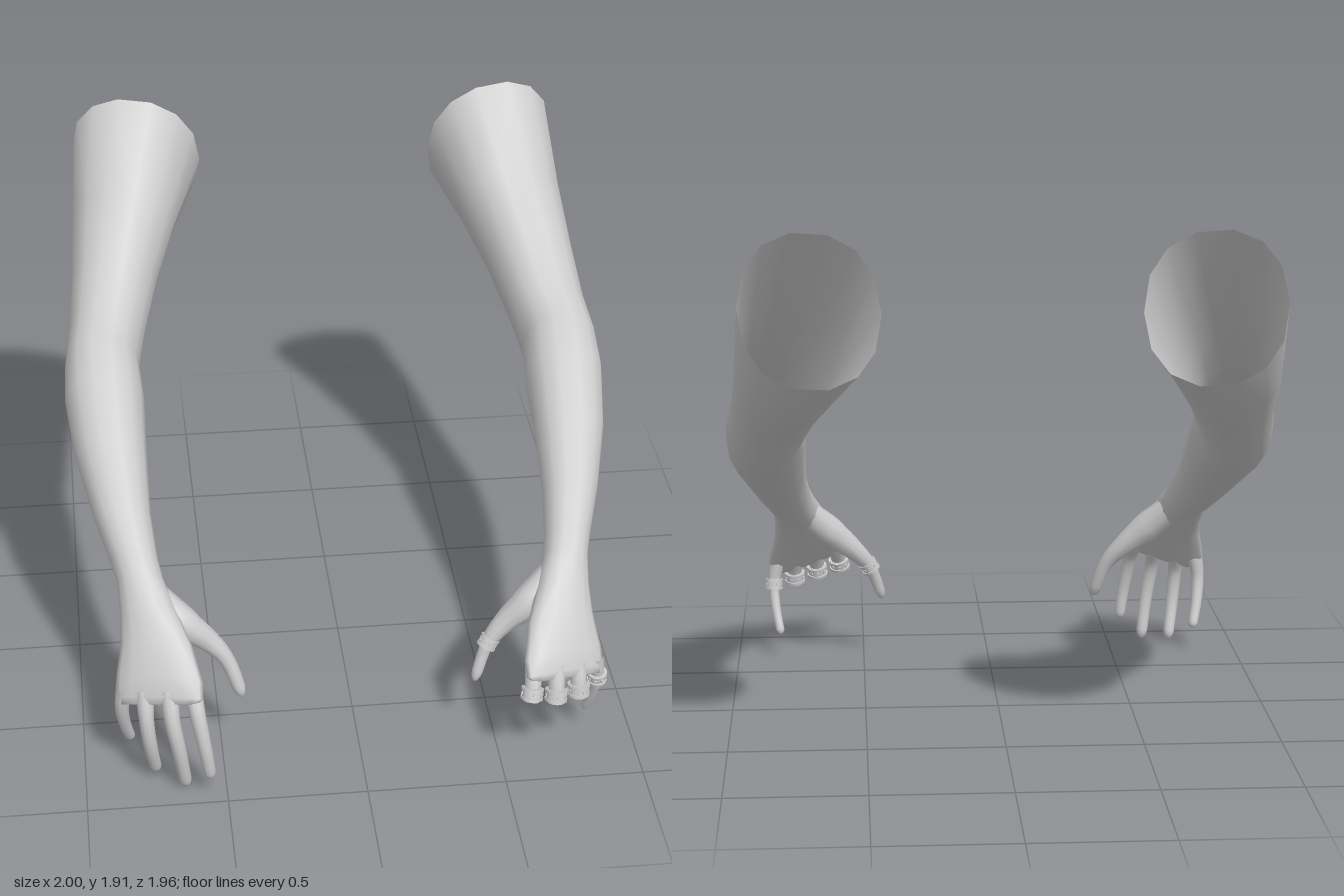
import * as THREE from 'three';

const skin = new THREE.MeshStandardMaterial({ color: 0xcccccc, side: THREE.DoubleSide });
const metal = new THREE.MeshStandardMaterial({ color: 0xcccccc });
const V = (x, y, z) => new THREE.Vector3(x, y, z);

// Smooth skin through equal-sized closed rings; side -1 mirrors it across x
function loft(rings, side) {
  const n = rings[0].length, index = [];
  const geo = new THREE.BufferGeometry().setFromPoints(rings.flat());
  for (let i = 0; i < rings.length - 1; i++) {
    for (let j = 0; j < n; j++) {
      const a = i * n + j, b = i * n + (j + 1) % n, c = a + n, d = b + n;
      if (side > 0) index.push(a, b, d, a, d, c);
      else index.push(a, d, b, a, c, d);
    }
  }
  geo.setIndex(index);
  geo.scale(side, 1, 1);
  geo.computeVertexNormals();
  return geo;
}

function ring(centre, u, v, n, power = 1) {
  const soft = (t) => Math.sign(t) * Math.abs(t) ** power;
  return Array.from({ length: n }, (_, j) => {
    const a = (j / n) * Math.PI * 2;
    return centre.clone().addScaledVector(u, soft(Math.cos(a))).addScaledVector(v, soft(Math.sin(a)));
  });
}

// Arm sections: inner x, outer x, top z/y, bottom z/y, shift of the outer side in z/y
const SECTIONS = [
  [0.44, 0.92, -0.82, 1.91, -0.97, 1.40, -0.04, 0.02],
  [0.55, 0.94, -0.60, 1.65, -0.80, 1.27, -0.02, 0],
  [0.63, 0.955, -0.42, 1.48, -0.58, 1.165, 0, 0],
  [0.69, 0.975, -0.26, 1.34, -0.38, 1.05, 0, 0],
  [0.72, 0.995, -0.13, 1.28, -0.25, 0.965, 0, 0],
  [0.71, 1.0, 0.0, 1.20, -0.12, 0.91, 0, 0],
  [0.715, 0.975, 0.20, 1.05, 0.07, 0.83, 0, 0],
  [0.715, 0.92, 0.40, 0.89, 0.28, 0.72, 0, 0],
  [0.70, 0.87, 0.54, 0.78, 0.43, 0.635, 0, 0],
  [0.685, 0.85, 0.60, 0.73, 0.50, 0.60, 0, 0],
  [0.65, 0.845, 0.68, 0.645, 0.585, 0.535, -0.01, -0.01],
  [0.60, 0.85, 0.77, 0.55, 0.69, 0.47, -0.03, -0.01],
  [0.572, 0.872, 0.85, 0.455, 0.785, 0.39, -0.06, -0.02],
  [0.575, 0.878, 0.885, 0.395, 0.835, 0.35, -0.065, -0.03],
  [0.60, 0.86, 0.885, 0.365, 0.855, 0.34, -0.055, -0.03],
  [0.72, 0.73, 0.872, 0.352, 0.868, 0.348, 0, 0],
];

function armGeometry(side) {
  const rings = SECTIONS.map(([xi, xo, zt, yt, zb, yb, sz, sy]) => ring(
    V((xi + xo) / 2, (yt + yb) / 2, (zt + zb) / 2),
    V((xo - xi) / 2, sy, sz), V(0, (yt - yb) / 2, (zt - zb) / 2), 14, 0.9));
  return loft(rings, side);
}

// Finger centre lines, radii along them and the place of the cuff
const FINGERS = [
  { name: 'indexFinger', cuff: 1 / 3, cut: true, radii: [0.034, 0.028, 0.025, 0.021],
    path: [V(0.61, 0.42, 0.87), V(0.595, 0.335, 0.925), V(0.575, 0.21, 0.953), V(0.557, 0.075, 0.952)] },
  { name: 'middleFinger', cuff: 1 / 3, cut: true, radii: [0.034, 0.028, 0.026, 0.022],
    path: [V(0.69, 0.405, 0.86), V(0.685, 0.31, 0.91), V(0.665, 0.18, 0.922), V(0.642, 0.003, 0.895)] },
  { name: 'ringFinger', cuff: 1 / 3, cut: true, radii: [0.034, 0.027, 0.025, 0.021],
    path: [V(0.775, 0.385, 0.825), V(0.775, 0.295, 0.865), V(0.765, 0.17, 0.865), V(0.745, 0.022, 0.82)] },
  { name: 'littleFinger', cuff: 1 / 3, cut: false, radii: [0.032, 0.025, 0.022, 0.019],
    path: [V(0.845, 0.38, 0.79), V(0.858, 0.287, 0.785), V(0.85, 0.19, 0.755), V(0.83, 0.095, 0.715)] },
  { name: 'thumb', cuff: 0.75, cut: false, radii: [0.055, 0.062, 0.042, 0.029, 0.023],
    path: [V(0.72, 0.62, 0.59), V(0.63, 0.535, 0.635), V(0.54, 0.46, 0.65), V(0.475, 0.385, 0.67), V(0.422, 0.24, 0.707)] },
];

function fingerGeometry({ path, radii, cuff }, side, end, thin) {
  const curve = new THREE.CatmullRomCurve3(path), rings = [], steps = 14;
  const add = (t, scale) => {
    const s = t * (radii.length - 1), i = Math.min(Math.floor(s), radii.length - 2);
    const r = THREE.MathUtils.lerp(radii[i], radii[i + 1], s - i) * scale * (t > cuff ? thin : 1);
    const T = curve.getTangent(t);
    const u = V(1, 0, 0).addScaledVector(T, -T.x).normalize();
    rings.push(ring(curve.getPoint(t), u.clone().multiplyScalar(r), T.clone().cross(u).multiplyScalar(r), 10));
  };
  for (let i = 0; i <= steps; i++) add((i / steps) * end * 0.93, 1);
  // rounded tip
  for (const [k, s] of [[0.96, 0.88], [0.985, 0.6], [1, 0.03]]) add(end * k, s);
  return loft(rings, side);
}

// Cuff: sleeve, two rims and a row of studs around a finger
function createCuff({ path, cuff, cut }, side) {
  const group = new THREE.Group();
  group.name = 'fingerCuff';
  const curve = new THREE.CatmullRomCurve3(path);
  const add = (name, geo, y = 0) => {
    const mesh = new THREE.Mesh(geo, metal);
    mesh.name = name;
    mesh.position.y = y;
    group.add(mesh);
    return mesh;
  };
  const r = cut ? 0.036 : 0.031;
  add('cuffSleeve', new THREE.CylinderGeometry(r, r, 0.044, 18));
  for (const y of [-0.016, 0.016]) add('cuffRim', new THREE.CylinderGeometry(r + 0.005, r + 0.005, 0.009, 18), y);
  for (let i = 0; i < 8; i++) {
    const a = (i / 8) * Math.PI * 2;
    const stud = add('cuffStud', new THREE.BoxGeometry(0.01, 0.009, 0.008));
    stud.position.set(Math.sin(a) * r, 0, Math.cos(a) * r);
    stud.rotation.y = a;
  }
  // closing plate where the finger ends
  if (cut) add('stumpPlate', new THREE.CylinderGeometry(r - 0.006, r - 0.006, 0.008, 18), 0.025);
  const p = curve.getPoint(cuff), t = curve.getTangent(cuff);
  group.position.set(p.x * side, p.y, p.z);
  group.quaternion.setFromUnitVectors(V(0, 1, 0), V(t.x * side, t.y, t.z));
  return group;
}

function createArm(side, cuffed) {
  const group = new THREE.Group();
  group.name = side > 0 ? 'leftArm' : 'rightArm';
  const add = (name, geo) => {
    const mesh = new THREE.Mesh(geo, skin);
    mesh.name = name;
    group.add(mesh);
  };
  add('armAndPalm', armGeometry(side));
  for (const finger of FINGERS) {
    const end = cuffed && finger.cut ? finger.cuff : 1;
    add(finger.name, fingerGeometry(finger, side, end, cuffed ? 0.85 : 1));
    if (cuffed) group.add(createCuff(finger, side));
  }
  return group;
}

export function createModel() {
  const model = new THREE.Group();
  model.name = 'pairOfArms';
  model.add(createArm(1, true), createArm(-1, false));
  return model;
}
